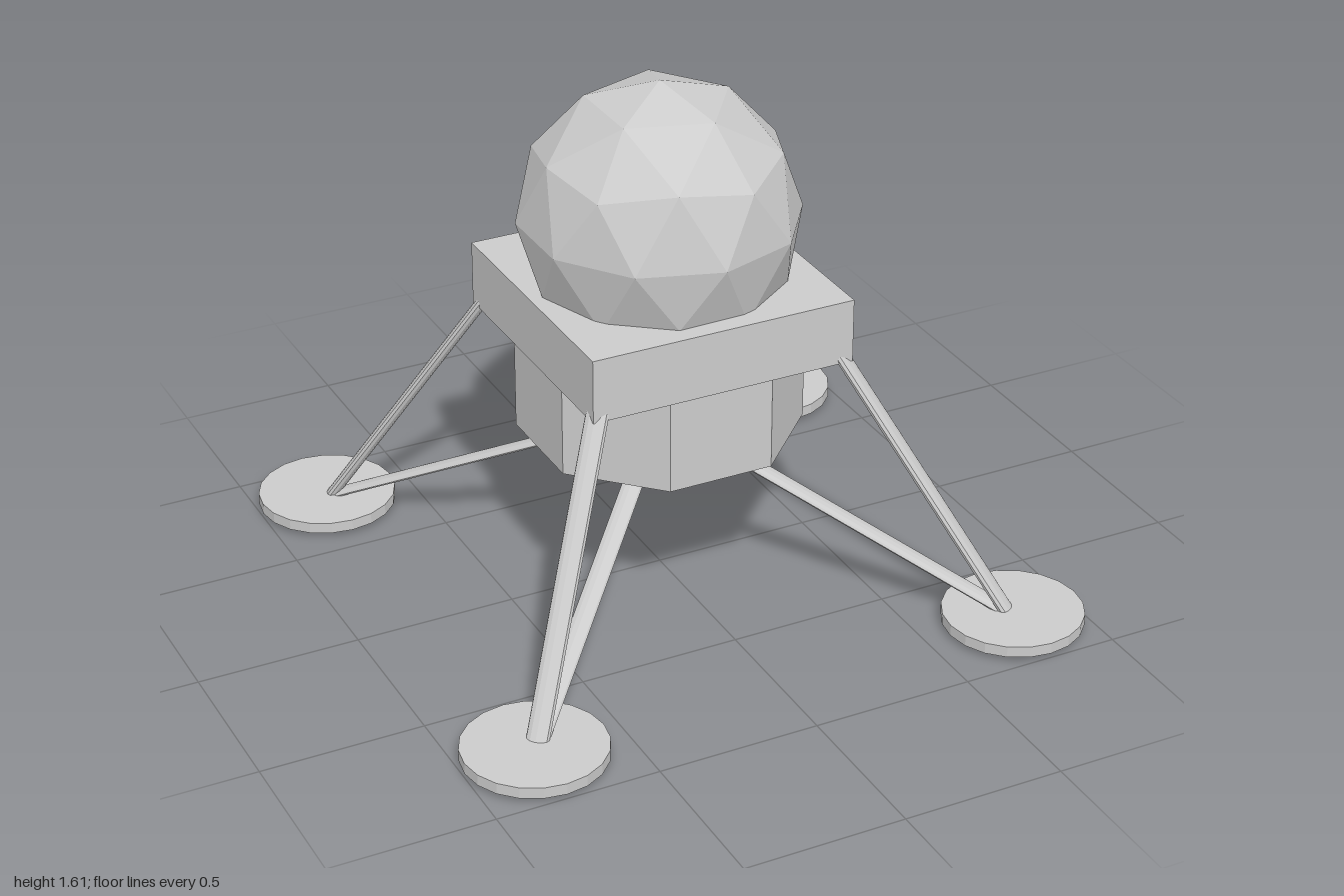
import * as THREE from 'three';

const material = new THREE.MeshStandardMaterial({ color: 0xcccccc, flatShading: true });

function part(name, geometry, parent, x = 0, y = 0, z = 0) {
  const mesh = new THREE.Mesh(geometry, material);
  mesh.name = name;
  mesh.position.set(x, y, z);
  parent.add(mesh);
  return mesh;
}

// Oval rod lying in the diagonal plane x = z; each end is [x = z, y].
// "wide" is the sideways half width, "deep" the half width in the diagonal plane.
function strut(name, [r0, y0], [r1, y1], wide, deep, parent) {
  const start = new THREE.Vector3(r0, y0, r0);
  const end = new THREE.Vector3(r1, y1, r1);
  const along = end.clone().sub(start);
  const length = along.length();
  along.normalize();
  const side = new THREE.Vector3(1, 0, -1).normalize();
  const out = side.clone().cross(along);
  const geometry = new THREE.CylinderGeometry(1, 1, length, 12);
  geometry.scale(wide, 1, deep);
  geometry.applyMatrix4(new THREE.Matrix4().makeBasis(side, along, out));
  const mid = start.add(end).multiplyScalar(0.5);
  return part(name, geometry, parent, mid.x, mid.y, mid.z);
}

function createLeg() {
  const leg = new THREE.Group();
  leg.name = 'landingLeg';
  part('footPad', new THREE.CylinderGeometry(0.215, 0.215, 0.035, 20), leg, 0.785, 0.0325, 0.785);
  strut('mainStrut', [0.785, 0.011], [0.378, 0.85], 0.035, 0.018, leg);
  strut('lowerBrace', [0.775, 0.035], [0.0, 0.53], 0.032, 0.012, leg);
  strut('upperBrace', [0.385, 0.815], [0.2, 0.69], 0.027, 0.024, leg);
  return leg;
}

export function createModel() {
  const model = new THREE.Group();
  model.name = 'lander';

  // Faceted cabin, turned so that one corner points straight up
  const cabin = new THREE.IcosahedronGeometry(0.425, 1);
  cabin.rotateZ(-Math.atan(2 / (1 + Math.sqrt(5))));
  part('cabin', cabin, model, 0, 1.187, 0);

  // Square deck and eight-sided descent stage with flat sides to the front
  part('deck', new THREE.BoxGeometry(0.84, 0.2, 0.84), model, 0, 0.9, 0);
  const stageRadius = 0.4 / Math.cos(Math.PI / 8);
  const stage = new THREE.CylinderGeometry(stageRadius, stageRadius, 0.32, 8);
  stage.rotateY(Math.PI / 8);
  part('descentStage', stage, model, 0, 0.66, 0);

  // Four legs, one under each deck corner
  for (let i = 0; i < 4; i++) {
    const leg = createLeg();
    leg.rotation.y = (i * Math.PI) / 2;
    model.add(leg);
  }
  return model;
}
